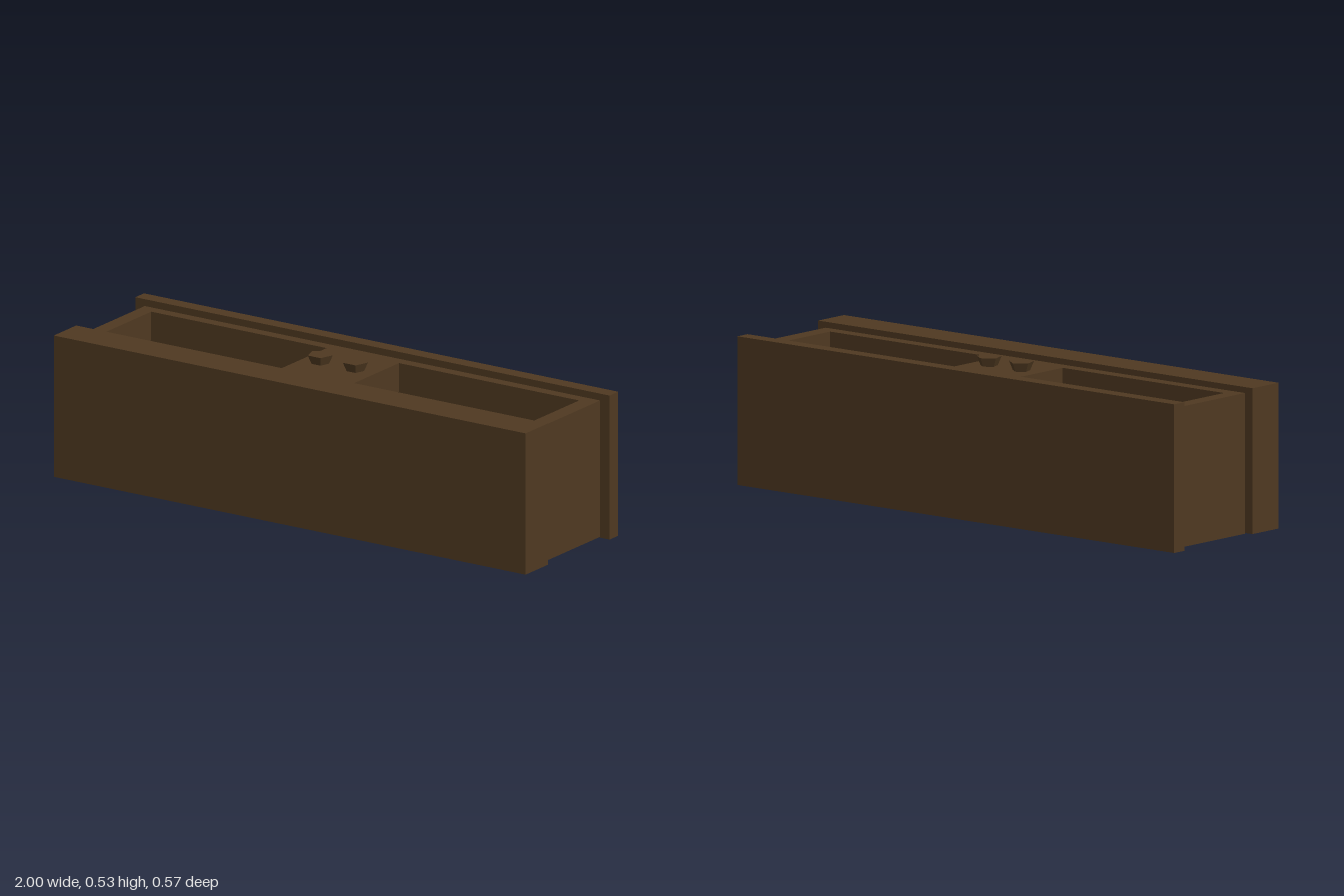
import * as THREE from 'three';

export function createModel() {
  const model = new THREE.Group();
  model.name = 'troughCounter';
  const wood = new THREE.MeshStandardMaterial({ color: 0x4f3921 });
  wood.name = 'darkWood';

  const add = (name, geometry, x = 0, y = 0, z = 0) => {
    const mesh = new THREE.Mesh(geometry, wood);
    mesh.name = name;
    mesh.position.set(x, y, z);
    model.add(mesh);
    return mesh;
  };
  // box given by its lower and upper corners
  const slab = (name, [x0, y0, z0], [x1, y1, z1]) =>
    add(name, new THREE.BoxGeometry(x1 - x0, y1 - y0, z1 - z0),
      (x0 + x1) / 2, (y0 + y1) / 2, (z0 + z1) / 2);

  // long panels at the front and back
  slab('frontPanel', [-0.995, 0.006, 0.144], [0.995, 0.523, 0.283]);
  slab('backPanel', [-1, 0, -0.283], [1, 0.527, -0.229]);

  // hollow body between the panels
  slab('bodyFloor', [-0.96, 0.003, -0.229], [0.96, 0.01, 0.144]);
  for (const [name, x] of [['leftEndWall', 0.957], ['rightEndWall', -0.957]])
    slab(name, [x - 0.003, 0.01, -0.229], [x + 0.003, 0.4, 0.144]);

  // thick top with two rectangular openings
  const rect = (path, x0, x1, z0, z1) => {
    path.moveTo(x0, -z1);
    path.lineTo(x1, -z1);
    path.lineTo(x1, -z0);
    path.lineTo(x0, -z0);
    path.closePath();
    return path;
  };
  const outline = rect(new THREE.Shape(), -0.96, 0.96, -0.229, 0.144);
  for (const [x0, x1] of [[-0.905, -0.165], [0.14, 0.9]])
    outline.holes.push(rect(new THREE.Path(), x0, x1, -0.188, 0.097));
  const top = new THREE.ExtrudeGeometry(outline, { depth: 0.105, bevelEnabled: false });
  top.rotateX(-Math.PI / 2);
  add('topFrame', top, 0, 0.397, 0);

  // pair of flared five-sided knobs on the divider
  for (const x of [-0.088, 0.06]) {
    const knob = new THREE.CylinderGeometry(0.046, 0.032, 0.032, 5, 1, false, Math.PI).toNonIndexed();
    knob.computeVertexNormals();
    add('knob', knob, x, 0.518, -0.035);
  }
  return model;
}
